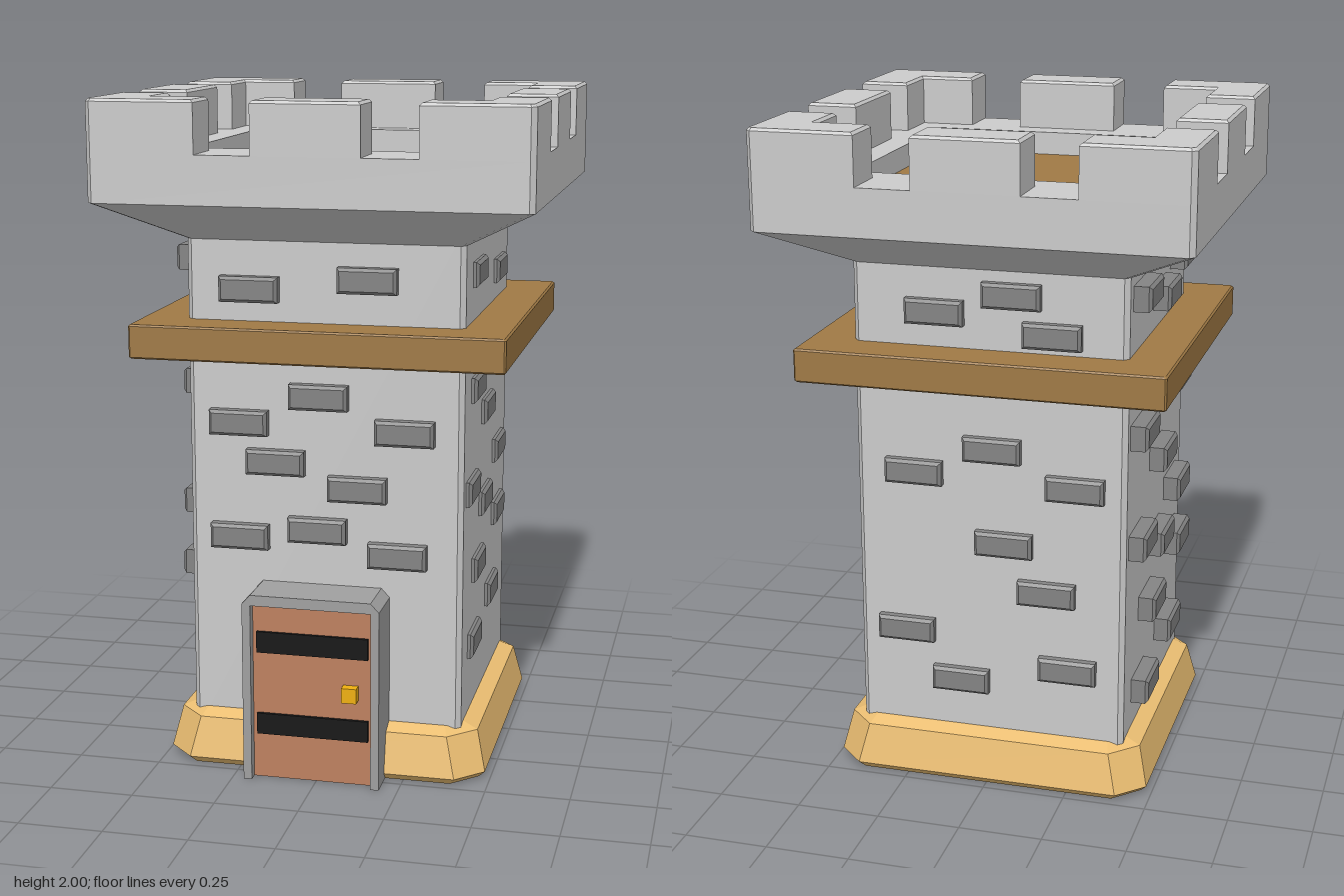
import * as THREE from 'three';

const mat = (color) => new THREE.MeshStandardMaterial({ color, flatShading: true });
const stone = mat(0xcccccc), brickGrey = mat(0x848484), frameGrey = mat(0xa0a0a0);
const wood = mat(0xa07a45), sand = mat(0xebbe72), doorWood = mat(0xbe8160);
const iron = mat(0x171717), brass = mat(0xf0b010);

// Stack of corner-cut squares, each section given as [y, half width, corner cut]
function squareLoft(sections, capTop = true) {
  const pos = [], index = [], n = 8;
  for (const [y, h, c] of sections) {
    const k = h - c;
    for (const [x, z] of [[h, -k], [h, k], [k, h], [-k, h], [-h, k], [-h, -k], [-k, -h], [k, -h]]) pos.push(x, y, z);
  }
  for (let s = 0; s < sections.length - 1; s++) {
    for (let i = 0; i < n; i++) {
      const a = s * n + i, b = s * n + (i + 1) % n;
      index.push(a, a + n, b, b, a + n, b + n);
    }
  }
  const top = (sections.length - 1) * n;
  for (let i = 1; i < n - 1; i++) {
    index.push(0, i, i + 1);
    if (capTop) index.push(top, top + i + 1, top + i);
  }
  const g = new THREE.BufferGeometry();
  g.setAttribute('position', new THREE.Float32BufferAttribute(pos, 3));
  g.setIndex(index);
  const flat = g.toNonIndexed();
  flat.computeVertexNormals();
  return flat;
}

// Outline extruded from z = 0 to z = depth, with edges cut by c
function slab(points, depth, c) {
  const shape = new THREE.Shape(points.map(([x, y]) => new THREE.Vector2(x, y)));
  const g = new THREE.ExtrudeGeometry(shape, {
    depth: depth - 2 * c, bevelEnabled: c > 0, bevelThickness: c, bevelSize: c, bevelOffset: -c, bevelSegments: 1,
  });
  return g.translate(0, 0, c);
}

const rect = (w, h) => [[-w / 2, -h / 2], [w / 2, -h / 2], [w / 2, h / 2], [-w / 2, h / 2]];

function add(parent, name, geometry, material, x = 0, y = 0, z = 0) {
  const mesh = new THREE.Mesh(geometry, material);
  mesh.name = name;
  mesh.position.set(x, y, z);
  parent.add(mesh);
  return mesh;
}

function addBattlements(tower) {
  // Flared parapet that turns inward over the walkway and down to the roof floor
  add(tower, 'parapet', squareLoft([
    [1.59, 0.41, 0.015], [1.71, 0.63, 0.015], [1.85, 0.63, 0.015], [1.85, 0.4, 0.001], [1.77, 0.4, 0.001],
  ], false), stone);
  add(tower, 'roofFloor', new THREE.BoxGeometry(0.8, 0.04, 0.8), wood, 0, 1.76, 0);

  const o = 0.63, i = 0.48, e = 0.315, c = 0.015;
  const corner = slab([[e, i], [i, i], [i, e], [o, e], [o, o - c], [o - c, o], [e, o]], 0.158, 0.008).rotateX(-Math.PI / 2);
  const middle = slab([[-0.155, i], [0.155, i], [0.155, o], [-0.155, o]], 0.158, 0.008).rotateX(-Math.PI / 2);
  for (let k = 0; k < 4; k++) {
    add(tower, 'cornerMerlon', corner, stone, 0, 1.842, 0).rotation.y = k * Math.PI / 2;
    add(tower, 'middleMerlon', middle, stone, 0, 1.842, 0).rotation.y = k * Math.PI / 2;
  }
}

function addBricks(tower) {
  // Each wall: turn about y, protrusion, brick centres as seen facing that wall
  const walls = [
    ['frontBricks', 0, 0.036, [[-0.22, 1.45], [0.13, 1.485], [-0.015, 1.14], [-0.255, 1.055], [0.24, 1.045],
      [-0.145, 0.94], [0.1, 0.87], [-0.255, 0.71], [-0.02, 0.74], [0.22, 0.675]]],
    ['leftBricks', Math.PI / 2, 0.018, [[-0.19, 1.49], [0.205, 1.445], [-0.195, 1.15], [0.235, 1.155], [0, 1.045],
      [-0.27, 0.855], [0.225, 0.87], [-0.03, 0.765], [0.225, 0.665], [-0.15, 0.59], [0.115, 0.43], [-0.21, 0.37]]],
    ['backBricks', Math.PI, 0.03, [[-0.16, 1.46], [0.07, 1.52], [0.19, 1.41], [-0.23, 0.97], [0.01, 1.055],
      [0.26, 0.955], [0.045, 0.765], [-0.26, 0.465], [0.175, 0.62], [-0.09, 0.315], [0.24, 0.38]]],
    ['rightBricks', -Math.PI / 2, 0.053, [[-0.27, 1.52], [0.01, 1.455], [0.255, 1.525], [-0.28, 1.11], [0.21, 1.145],
      [0, 0.955], [0.23, 0.78], [-0.28, 0.77], [-0.015, 0.685], [0.245, 0.59], [-0.125, 0.515], [0.125, 0.34], [-0.21, 0.28]]],
  ];
  const brick = slab(rect(0.175, 0.075), 0.08, 0.009);
  for (const [name, turn, out, centres] of walls) {
    const wall = new THREE.Group();
    wall.name = name;
    wall.rotation.y = turn;
    for (const [x, y] of centres) add(wall, 'brick', brick, brickGrey, x, y, 0.41 + out - 0.08);
    tower.add(wall);
  }
}

function addDoor(tower) {
  const door = new THREE.Group();
  door.name = 'door';
  door.position.x = -0.01;
  // Arch-shaped surround with cut upper corners, open at the ground
  const frame = [[-0.205, 0], [-0.18, 0], [-0.18, 0.54], [0.18, 0.54], [0.18, 0], [0.205, 0],
    [0.205, 0.545], [0.18, 0.572], [-0.18, 0.572], [-0.205, 0.545]].reverse();
  add(door, 'doorFrame', slab(frame, 0.16, 0), frameGrey, 0, 0, 0.4);
  add(door, 'doorPanel', new THREE.BoxGeometry(0.36, 0.54, 0.13), doorWood, 0, 0.27, 0.465);
  for (const y of [0.17, 0.423]) add(door, 'doorBand', new THREE.BoxGeometry(0.335, 0.064, 0.02), iron, 0, y, 0.53);
  add(door, 'doorKnob', new THREE.BoxGeometry(0.045, 0.045, 0.04), brass, 0.115, 0.285, 0.54);
  tower.add(door);
}

export function createModel() {
  const tower = new THREE.Group();
  tower.name = 'tower';
  // Plinth, shaft and timber belt
  add(tower, 'plinth', squareLoft([[0, 0.465, 0.075], [0.022, 0.485, 0.08], [0.143, 0.457, 0.08], [0.16, 0.415, 0.05]]), sand);
  add(tower, 'shaft', squareLoft([[0.1, 0.41, 0.015], [1.62, 0.41, 0.015]]), stone);
  add(tower, 'belt', squareLoft([[1.255, 0.542, 0.005], [1.26, 0.547, 0.005], [1.35, 0.547, 0.005], [1.355, 0.542, 0.005]]), wood);
  addBattlements(tower);
  addBricks(tower);
  addDoor(tower);
  return tower;
}
